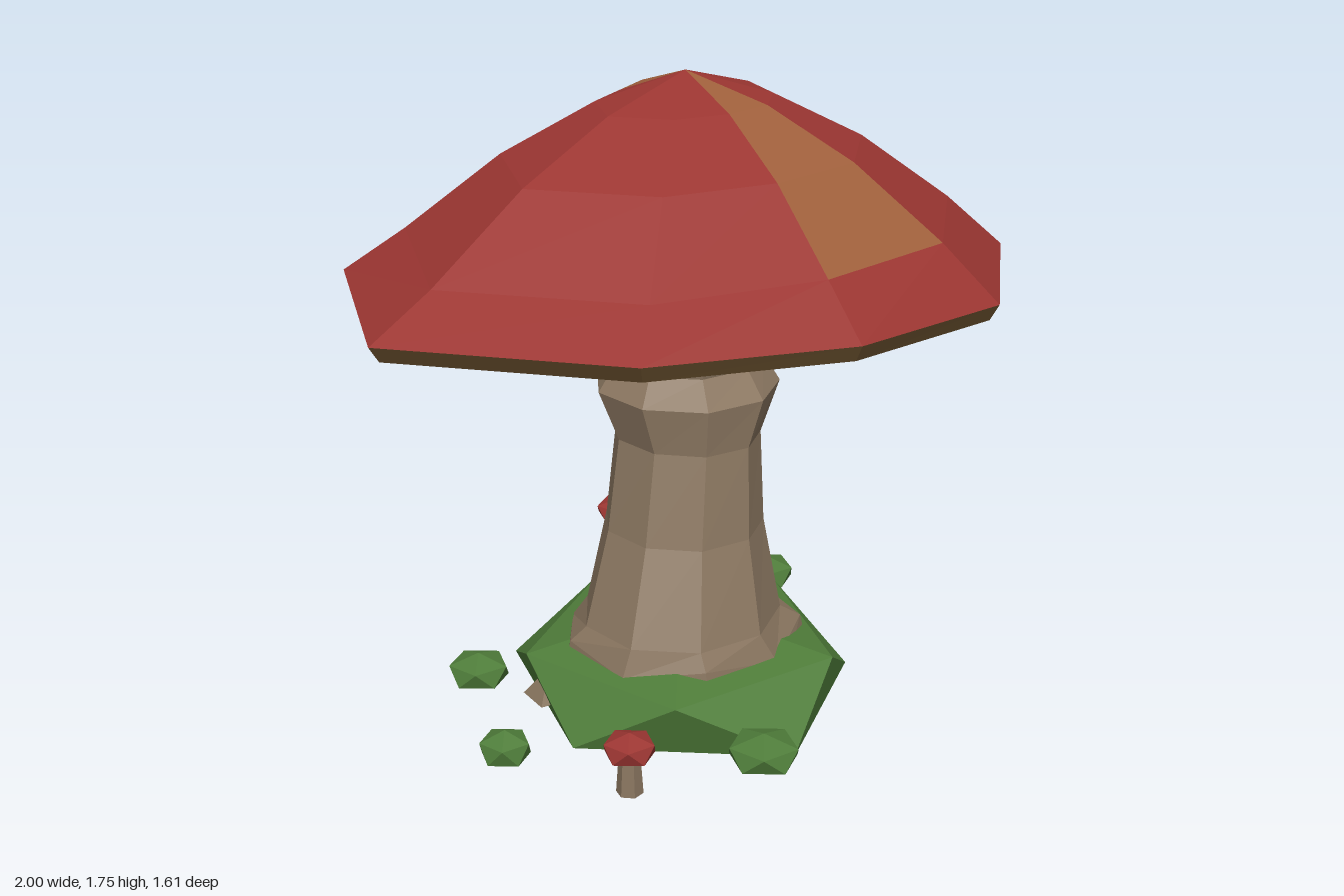
import * as THREE from 'three';

const mat = (color) => new THREE.MeshStandardMaterial({ color, flatShading: true, side: THREE.DoubleSide });
const RED = mat(0x9c3632), ORANGE = mat(0xa0603c), BROWN = mat(0x6e5430), BARK = mat(0x8a7660), GREEN = mat(0x4f7d3a);

// Skins a stack of rings (bottom to top, equal point counts); keep(band, side) selects faces.
function loft(rings, keep = () => true) {
  const pos = [];
  const n = rings[0].length;
  const tri = (a, b, c) => {
    const area = b.clone().sub(a).cross(c.clone().sub(a)).length();
    if (area > 1e-9) for (const p of [a, b, c]) pos.push(p.x, p.y, p.z);
  };
  for (let j = 0; j < rings.length - 1; j++) {
    for (let i = 0; i < n; i++) {
      if (!keep(j, i)) continue;
      const k = (i + 1) % n, lo = rings[j], hi = rings[j + 1];
      tri(lo[i], hi[i], lo[k]);
      tri(lo[k], hi[i], hi[k]);
    }
  }
  const g = new THREE.BufferGeometry();
  g.setAttribute('position', new THREE.Float32BufferAttribute(pos, 3));
  g.computeVertexNormals();
  return g;
}

function ring(n, x, y, z, rx, rz, offset = 0) {
  return Array.from({ length: n }, (_, i) => {
    const a = THREE.MathUtils.degToRad(offset + (i * 360) / n);
    return new THREE.Vector3(x + rx * Math.cos(a), y, z + rz * Math.sin(a));
  });
}

// Squashed twenty-sided lump: two five-point rings between two poles.
function lump([x, y, z], rx, h, rz, topX = rx, topZ = rz) {
  return loft([
    ring(5, x, y - h, z, 0, 0),
    ring(5, x, y - h * 0.45, z, rx, rz, 36),
    ring(5, x, y + h * 0.45, z, topX, topZ, 72),
    ring(5, x, y + h, z, 0, 0),
  ]);
}

export function createModel() {
  const group = new THREE.Group();
  const add = (name, geometry, material, parent = group) => {
    const mesh = new THREE.Mesh(geometry, material);
    mesh.name = name;
    parent.add(mesh);
    return mesh;
  };

  // Cap: uneven ten-sided rim, scaled towards the apex for the upper rings
  const apex = new THREE.Vector3(0.07, 1.75, -0.02);
  const rim = [
    [1, 1.245, 0.05], [0.73, 1.24, 0.54], [0.27, 1.24, 0.8], [-0.24, 1.26, 0.73], [-0.73, 1.29, 0.47],
    [-1, 1.29, -0.1], [-0.6, 1.28, -0.59], [-0.1, 1.26, -0.7], [0.4, 1.25, -0.81], [0.93, 1.29, -0.55],
  ].map((p) => new THREE.Vector3(...p));
  const scaled = (s, yOf) => rim.map((p) => new THREE.Vector3(
    apex.x + (p.x - apex.x) * s, yOf(p), apex.z + (p.z - apex.z) * s));
  const dome = [rim, scaled(0.82, () => 1.38), scaled(0.54, () => 1.558), scaled(0.265, () => 1.68), scaled(0, () => 1.75)];
  const isPatch = (band, side) => (side === 2 && band > 0) || (side === 7 && band > 1);
  add('cap', loft(dome, (b, s) => !isPatch(b, s)), RED);
  add('capPatches', loft(dome, isPatch), ORANGE);

  // Underside and thin lip
  add('capUnderside', loft([
    scaled(0, () => 1.17), scaled(0.27, () => 1.14), scaled(0.972, (p) => p.y - 0.043), rim,
  ]), BROWN);

  // Stem: leaning, with a swollen collar; rows are y, xMin, xMax, zMin, zMax
  const stemRows = [
    [0.18, -0.37, 0.31, -0.27, 0.38],
    [0.26, -0.36, 0.29, -0.25, 0.36],
    [0.32, -0.33, 0.21, -0.19, 0.325],
    [0.56, -0.225, 0.19, -0.17, 0.255],
    [0.8, -0.165, 0.2, -0.17, 0.225],
    [0.925, -0.19, 0.29, -0.245, 0.245],
    [0.99, -0.13, 0.275, -0.21, 0.18],
    [1.13, -0.145, 0.285, -0.225, 0.205],
    [1.18, -0.18, 0.31, -0.24, 0.23],
  ];
  const stemRings = stemRows.map(([y, x0, x1, z0, z1]) =>
    ring(9, (x0 + x1) / 2, y, (z0 + z1) / 2, (x1 - x0) * 0.51, (z1 - z0) * 0.51, 10));
  stemRings[1].forEach((p, i) => { p.y += i % 2 ? 0.015 : -0.015; });
  add('stem', loft(stemRings), BARK);

  // Mossy mound and root tips poking out of it
  add('mound', lump([-0.05, 0.165, 0.06], 0.455, 0.165, 0.5, 0.43, 0.425), GREEN);
  for (const [x, z, turn] of [[0.36, 0.09, 0], [-0.39, -0.12, 2]]) {
    const root = add('rootTip', new THREE.ConeGeometry(0.07, 0.08, 4), BARK);
    root.position.set(x, 0.175, z);
    root.rotation.y = turn;
  }

  // Small bushes around the mound
  const bushes = [[0.5, -0.05, 0.08], [-0.35, 0.55, 0.09], [-0.73, 0.03, 0.065], [-0.465, -0.3, 0.08]];
  for (const [x, z, r] of bushes) add('bush', lump([x, 0.185, z], r, 0.05, r), GREEN);

  // Two young mushrooms: x, z, cap height, cap radius, stem radius
  for (const [x, z, y, r, s] of [[-0.645, 0.36, 0.262, 0.065, 0.034], [0.39, -0.49, 0.303, 0.083, 0.044]]) {
    const young = new THREE.Group();
    young.name = 'youngMushroom';
    group.add(young);
    add('youngStem', loft([ring(6, x, 0.14, z, 0, 0), ring(6, x, 0.14, z, s, s), ring(6, x, y, z, s * 0.75, s * 0.75)]), BARK, young);
    add('youngCap', lump([x, y, z], r, 0.042, r), RED, young);
  }
  return group;
}
